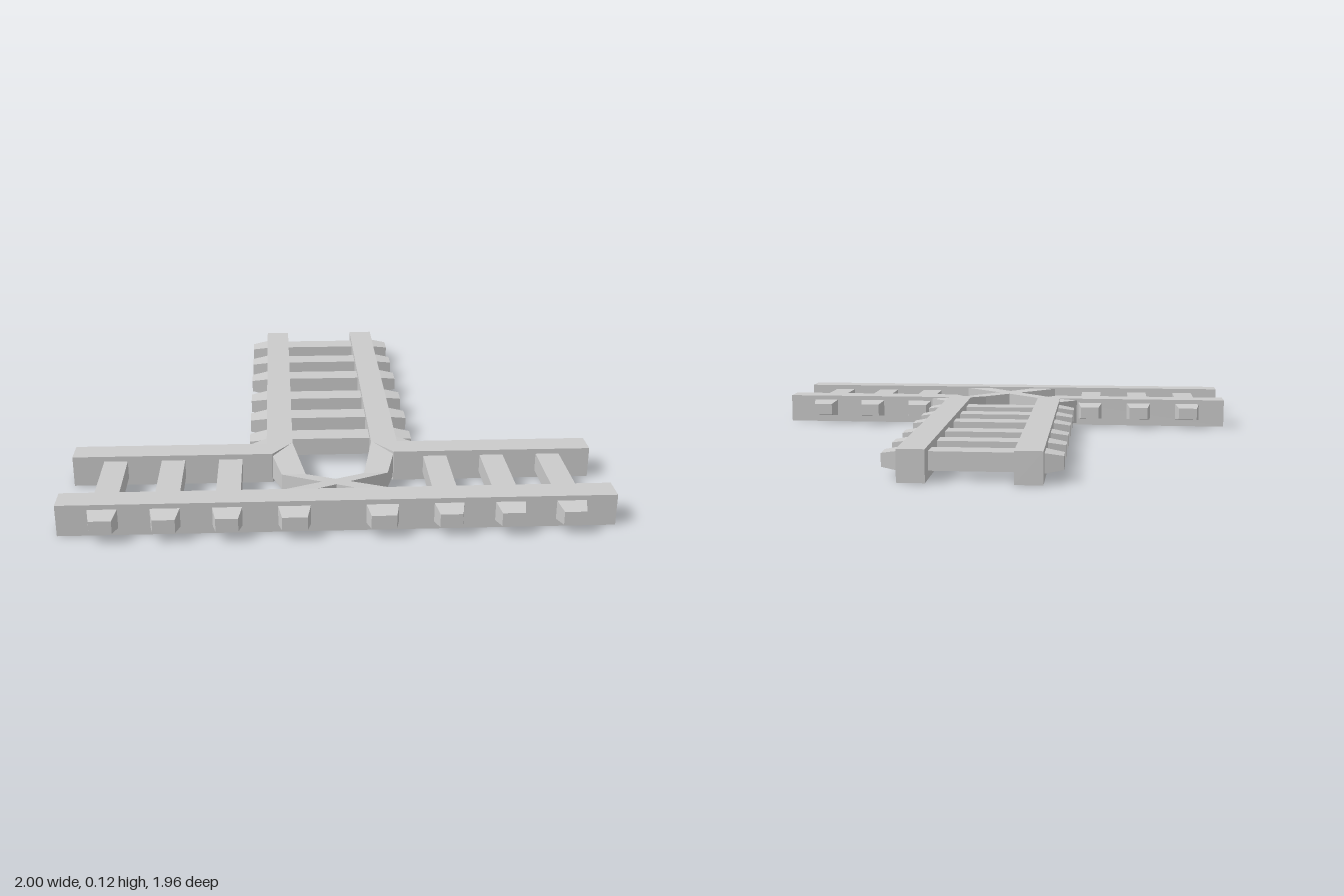
import * as THREE from 'three';
import { ConvexGeometry } from 'three/addons/geometries/ConvexGeometry.js';

const H = 0.12; // rail height
const TIE_LOW = 0.03, TIE_HIGH = 0.1;

export function createModel() {
  const group = new THREE.Group();
  group.name = 'railJunction';
  const material = new THREE.MeshStandardMaterial({ color: 0xcccccc, flatShading: true });

  const add = (name, geometry) => {
    const mesh = new THREE.Mesh(geometry, material);
    mesh.name = name;
    group.add(mesh);
    return mesh;
  };

  // Box given by its limits on each axis
  const box = (name, x0, x1, y0, y1, z0, z1) =>
    add(name, new THREE.BoxGeometry(x1 - x0, y1 - y0, z1 - z0))
      .position.set((x0 + x1) / 2, (y0 + y1) / 2, (z0 + z1) / 2);

  // Convex block from plan corners [x, z, bottom, top]; side mirrors it in x
  const block = (name, side, corners) => {
    const points = corners.flatMap(([x, z, low = 0, high = H]) => [
      new THREE.Vector3(side * x, low, z),
      new THREE.Vector3(side * x, high, z),
    ]);
    add(name, new ConvexGeometry(points));
  };

  // Tapered tie end, pointing along (dx, dz) from the outer face of a rail
  const tieEnd = (x, z, dx, dz, width = 0.11) => {
    const points = [];
    for (const [out, half, low, high] of [
      [-0.01, width / 2, TIE_LOW - 0.003, TIE_HIGH + 0.003],
      [0.068, width / 2 - 0.015, TIE_LOW + 0.01, TIE_HIGH - 0.01],
    ])
      for (const s of [-half, half])
        for (const y of [low, high])
          points.push(new THREE.Vector3(x + dx * out + dz * s, y, z + dz * out + dx * s));
    add('tieEnd', new ConvexGeometry(points));
  };

  // Straight through rail along the front
  box('frontRail', -1, 1, 0, H, 0.81, 0.91);

  for (const side of [-1, 1]) {
    // Back rail of the cross track, mitred at the junction
    block('backRail', side, [[0.16, 0.4], [1, 0.4], [1, 0.5], [0.235, 0.5]]);

    // Rail of the branch track
    const a = side * 0.155, b = side * 0.257;
    box('branchRail', Math.min(a, b), Math.max(a, b), 0, H, -0.98, 0.4);

    // Corner web between the branch rail and the back rail
    block('cornerWeb', side, [
      [0.25, 0.325, 0.008, 0.112], [0.34, 0.405, 0.008, 0.112], [0.25, 0.405, 0, 0.119],
    ]);

    // Rail bending inwards and thinning out
    block('bentRail', side, [
      [0.155, 0.4], [0.257, 0.4],
      [0.2, 0.635, 0.034, 0.095], [0.11, 0.635, 0.034, 0.095],
    ]);

    // Diagonal bar crossing over to the front rail
    block('crossingBar', side, [
      [0.11, 0.635, 0.034, 0.095], [0.2, 0.635, 0.034, 0.095],
      [-0.105, 0.815, 0.006, 0.114], [-0.225, 0.815, 0.006, 0.114],
    ]);

    // Ties of the cross track
    for (const d of [0.395, 0.615, 0.835]) {
      const x = side * d;
      box('crossTie', x - 0.045, x + 0.045, TIE_LOW, TIE_HIGH, 0.49, 0.82);
      tieEnd(x, 0.91, 0, 1);
      tieEnd(x, 0.4, 0, -1);
    }
    tieEnd(side * 0.157, 0.91, 0, 1, 0.12);
  }

  // Ties of the branch track
  for (const z of [-0.86, -0.64, -0.42, -0.17, 0.05, 0.27]) {
    box('branchTie', -0.17, 0.17, TIE_LOW, TIE_HIGH, z - 0.045, z + 0.045);
    for (const side of [-1, 1]) tieEnd(side * 0.257, z, side, 0);
  }

  return group;
}
